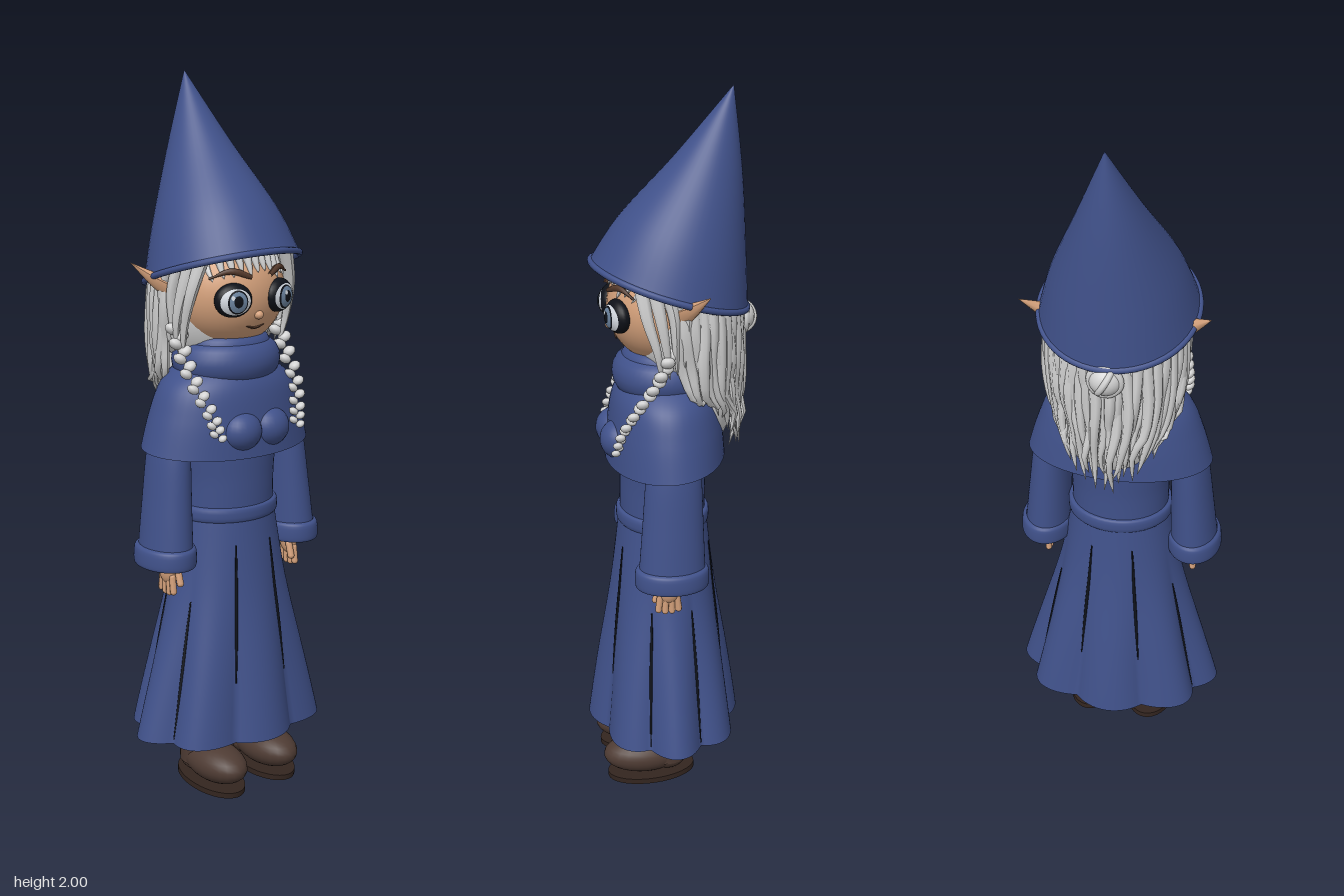
import * as THREE from 'three';
import { mergeGeometries } from 'three/addons/utils/BufferGeometryUtils.js';

const mat = (name, color, side = THREE.FrontSide) => {
  const m = new THREE.MeshStandardMaterial({ color, side });
  m.name = name;
  return m;
};
const V = (x, y, z) => new THREE.Vector3(x, y, z);

// Smooth skin through elliptical rings [y, rx, rz, cz, cx, tilt], listed bottom to top
function loft(rings, { steps = 8, seg = 48, mod = () => 1 } = {}) {
  const rows = [], pos = [], idx = [];
  const get = (i, k) => rings[Math.max(0, Math.min(rings.length - 1, i))][k] ?? 0;
  for (let i = 0; i < rings.length - 1; i++) {
    for (let s = 0; s < steps; s++) rows.push([0, 1, 2, 3, 4, 5].map(k => {
      const t = s / steps, a = get(i - 1, k), b = get(i, k), c = get(i + 1, k), d = get(i + 2, k);
      return b + 0.5 * t * (c - a + t * (2 * a - 5 * b + 4 * c - d + t * (3 * (b - c) + d - a)));
    }));
  }
  rows.push([0, 1, 2, 3, 4, 5].map(k => get(rings.length - 1, k)));
  rows.forEach(([y, rx, rz, cz, cx, tilt], i) => {
    for (let j = 0; j < seg; j++) {
      const a = j / seg * Math.PI * 2, m = mod(a, y);
      pos.push(cx + rx * m * Math.sin(a), y + tilt * Math.cos(a), cz + rz * m * Math.cos(a));
      if (i === rows.length - 1) continue;
      const p = i * seg + j, q = i * seg + (j + 1) % seg;
      idx.push(p, q, p + seg, q, q + seg, p + seg);
    }
  });
  const g = new THREE.BufferGeometry();
  g.setAttribute('position', new THREE.Float32BufferAttribute(pos, 3));
  g.setIndex(idx);
  g.computeVertexNormals();
  return g;
}

// Tube along points whose thickness follows the rule w(t)
function taper(points, r, w = t => 0.03 + 0.97 * Math.pow(1 - t, 0.6), seg = 12) {
  const curve = new THREE.CatmullRomCurve3(points), g = new THREE.TubeGeometry(curve, seg, r, 7);
  const p = g.attributes.position, v = V(0, 0, 0);
  for (let i = 0; i <= seg; i++) {
    const c = curve.getPointAt(i / seg);
    for (let j = 0; j < 8; j++) {
      v.fromBufferAttribute(p, i * 8 + j).sub(c).multiplyScalar(w(i / seg)).add(c);
      p.setXYZ(i * 8 + j, v.x, v.y, v.z);
    }
  }
  g.computeVertexNormals();
  return g;
}
const ball = (x, y, z, rx, ry, rz, n = 24) =>
  new THREE.SphereGeometry(1, n, Math.ceil(n * 0.7)).scale(rx, ry, rz).translate(x, y, z);

export function createModel() {
  const root = new THREE.Group();
  const cloth = mat('blue cloth', 0x40518a, THREE.DoubleSide);
  const skin = mat('skin', 0xd6a27c);
  const hair = mat('silver hair', 0xd2d2d2);
  const leather = mat('brown leather', 0x4e3b33);
  const sole = mat('dark sole', 0x33251f);
  const dark = mat('dark line', 0x0e1118, THREE.DoubleSide);
  const brown = mat('brow brown', 0x54392b);
  const white = mat('eye white', 0xd8dde4);
  const iris = mat('iris blue', 0x6f87a3);
  const add = (name, geo, m, parent = root) => {
    const mesh = new THREE.Mesh(Array.isArray(geo) ? mergeGeometries(geo) : geo, m);
    mesh.name = name;
    parent.add(mesh);
    return mesh;
  };
  let seed = 7;
  const rnd = () => (seed = (seed * 16807) % 2147483647) / 2147483647 - 0.5;

  // Hat with a tilted brim
  add('hat', loft([[1.478, .213, .213, 0, 0, .067], [1.61, .171, .171, -.036, 0, .05],
    [1.8, .087, .09, -.105, 0, .02], [2, 0, 0, -.17, 0, 0]]), cloth);
  add('hatBrim', new THREE.TorusGeometry(.212, .009, 10, 64).scale(1, 1.04, 1)
    .rotateX(Math.PI / 2 - .305).translate(0, 1.478, 0), cloth);

  // Pleated skirt
  const pleat = (a, y) => {
    const k = THREE.MathUtils.smoothstep(.78 - y, 0, .6);
    return 1 + k * (.065 - .15 * (1 - Math.abs(Math.cos(4 * a))));
  };
  const skirtRings = [[.17, .285, .207, .02], [.38, .232, .18, .02], [.6, .178, .148, .02], [.8, .142, .125, .02]];
  add('skirt', loft(skirtRings, { seg: 128, mod: pleat }), cloth);
  const radius = (y, k) => {
    const i = y < .38 ? 0 : y < .6 ? 1 : 2, [a, b] = [skirtRings[i], skirtRings[i + 1]];
    return THREE.MathUtils.mapLinear(y, a[0], b[0], a[k], b[k]);
  };
  const creases = [];
  for (let i = 0; i < 8; i++) {
    const a = (i + .5) * Math.PI / 4, inner = Math.abs(Math.sin(a)) < .7, pts = [];
    for (let j = 0; j <= 6; j++) {
      const y = (inner ? .34 : .18) + j / 6 * .39, m = pleat(a, y);
      pts.push(V(radius(y, 1) * m * Math.sin(a), y, .02 + radius(y, 2) * m * Math.cos(a)));
    }
    creases.push(taper(pts, .005, t => .4 + .6 * Math.sin(Math.PI * t)));
  }
  add('pleatCreases', creases, dark);

  // Bodice and belt
  add('bodice', loft([[.79, .138, .12, .02], [.9, .14, .12, .02], [1.05, .15, .12, .015], [1.2, .1, .09, .01]]), cloth);
  add('belt', loft([[.792, .138, .12, .02], [.798, .15, .13, .02], [.828, .15, .13, .02], [.834, .138, .12, .02]], { steps: 3 }), cloth);

  // Shoulder cape and rolled cowl
  add('cape', loft([[.997, .262, .165, .015, 0, -.014], [1.09, .235, .157, .015, 0, -.005],
    [1.17, .2, .142, .015], [1.22, .14, .115, .01], [1.24, .09, .08, .01]]), cloth);
  add('capeFront', [-1, 1].map(s => ball(s * .048, 1.055, .148, .06, .055, .053)), cloth);
  add('cowl', [[.1, .056, 1.232], [.088, .04, 1.268]].map(([R, r, y]) =>
    new THREE.TorusGeometry(R, r, 18, 48).rotateX(Math.PI / 2).scale(1, 1.05, .9).translate(0, y, .018)), cloth);

  // Head
  const faceZ = (x, y) => .02 + .15 * Math.sqrt(Math.max(.02, 1 - (x / .165) ** 2 - ((y - 1.42) / .155) ** 2));
  const onFace = (x, y, d = 0) => V(x, y, faceZ(x, y) + d);
  add('head', ball(0, 1.42, .02, .165, .155, .15, 40), skin);
  add('neck', new THREE.CylinderGeometry(.06, .07, .14, 24).translate(0, 1.24, .01), skin);
  add('nose', ball(0, 1.37, faceZ(0, 1.37), .013, .012, .014, 14), skin);
  add('mouth', taper([onFace(-.03, 1.34, .001), onFace(0, 1.333, .001), onFace(.03, 1.34, .001)], .004,
    t => .3 + .7 * Math.sin(Math.PI * t)), brown);

  for (const s of [-1, 1]) {
    const side = s > 0 ? 'left' : 'right';

    // Eye: a dark lens with thin curved layers on it
    const eye = new THREE.Group();
    eye.name = side + 'Eye';
    eye.position.set(s * .077, 1.415, .15);
    eye.rotation.y = s * .3;
    root.add(eye);
    add('lashRim', ball(0, 0, 0, .053, .046, .03), dark, eye);
    const layer = (name, rx, ry, cx, cy, d, m) => {
      const g = new THREE.RingGeometry(.001, 1, 32, 5).scale(rx, ry, 1).translate(cx, cy, 0), p = g.attributes.position;
      for (let i = 0; i < p.count; i++) {
        const q = 1 - (p.getX(i) / .053) ** 2 - (p.getY(i) / .046) ** 2;
        p.setZ(i, .03 * Math.sqrt(Math.max(0, q)) + d);
      }
      g.computeVertexNormals();
      add(name, g, m, eye);
    };
    layer('eyeWhite', .043, .035, 0, -.002, .0012, white);
    layer('irisRim', .029, .032, -s * .004, -.002, .0024, dark);
    layer('iris', .025, .028, -s * .004, -.002, .0036, iris);
    layer('pupil', .013, .016, -s * .004, 0, .0048, dark);
    layer('eyeGlint', .005, .006, -.012, .011, .006, white);

    add(side + 'Brow', taper([onFace(s * .03, 1.474, .012), onFace(s * .08, 1.491, .014), onFace(s * .13, 1.472, .016)],
      .009, t => .35 + .65 * Math.sin(Math.PI * Math.min(1, t + .15))), brown);
    add(side + 'Ear', taper([V(s * .16, 1.435, -.01), V(s * .2, 1.46, -.03), V(s * .255, 1.505, -.066)], .032,
      t => 1.02 - t), skin);

    // Sleeve, cuff and hand
    add(side + 'Sleeve', loft([[.7, .068, .093, .028, s * .217], [.85, .06, .084, .024, s * .208],
      [1.0, .051, .075, .02, s * .197], [1.1, .04, .06, .015, s * .18]]), cloth);
    add(side + 'Cuff', loft([[.73, .055, .078, .028, s * .217], [.69, .06, .085, .028, s * .217],
      [.681, .071, .095, .028, s * .218], [.69, .078, .102, .028, s * .218], [.728, .076, .101, .028, s * .217],
      [.738, .066, .09, .028, s * .216]], { steps: 4 }), cloth);
    const hand = [ball(s * .216, .67, .036, .02, .045, .032, 16)];
    for (let i = 0; i < 4; i++) hand.push(new THREE.CapsuleGeometry(.0095, .042, 4, 8)
      .rotateX((1.5 - i) * .08).translate(s * .217, .62 + Math.abs(i - 1.5) * .005, .012 + i * .017));
    hand.push(new THREE.CapsuleGeometry(.01, .035, 4, 8).rotateX(-.3).translate(s * .198, .645, .066));
    add(side + 'Hand', hand, skin);

    // Boot
    add(side + 'BootShaft', new THREE.CylinderGeometry(1, 1, .32, 28).scale(.062, 1, .064).translate(s * .093, .22, .026), leather);
    add(side + 'BootFoot', [ball(s * .092, .074, .09, .071, .055, .12), ball(s * .092, .07, .022, .062, .048, .06)], leather);
    add(side + 'Sole', new THREE.CylinderGeometry(1, 1, .016, 36).scale(.074, 1, .128).rotateX(.06)
      .translate(s * .092, .016, .07), sole);

    // Face-framing locks and braid
    const frame = [];
    for (let i = 0; i < 4; i++) frame.push(taper([V(s * (.14 + i * .01), 1.53, .1 - i * .03),
      V(s * (.168 + i * .005), 1.43, .085 - i * .035), V(s * (.176 + rnd() * .01), 1.34, .06 - i * .025),
      V(s * .165, 1.25 + i * .01, .045 - i * .02)], .021));
    add(side + 'FaceLocks', frame, hair);
    const path = new THREE.CatmullRomCurve3([V(s * .17, 1.33, .02), V(s * .172, 1.25, .06), V(s * .165, 1.17, .115),
      V(s * .145, 1.1, .152), V(s * .135, 1.05, .165)]);
    const braid = [];
    for (let i = 0; i < 18; i++) {
      const c = path.getPoint(i / 17), r = .021 - i * .0005, side2 = i % 2 ? 1 : -1;
      braid.push(new THREE.SphereGeometry(1, 12, 8).scale(r, r * .72, r).rotateZ(side2 * .6)
        .translate(c.x + side2 * .009, c.y, c.z + side2 * .004));
    }
    add(side + 'Braid', braid, hair);
  }

  // Fringe under the brim
  const fringe = [];
  for (let i = 0; i < 13; i++) {
    const x = (i - 6) * .023, y = 1.485 - Math.abs(x) * .2 + rnd() * .02;
    fringe.push(taper([V(x * .9, 1.56, .12 - Math.abs(x) * .4), onFace(x, 1.52, .008), onFace(x * 1.04, y, .004)], .017));
  }
  add('fringe', fringe, hair);

  // Back hair: inner mass with two rows of wavy locks
  add('hairMass', [ball(0, 1.38, -.04, .183, .19, .152, 32), ball(0, 1.2, -.1, .135, .19, .08, 28)], hair);
  const locks = [];
  for (let row = 0; row < 2; row++) for (let i = 0; i < 23; i++) {
    const a = (i + row * .5 - 11) / 11 * 1.7, s = Math.sin(a), c = Math.cos(a), k = 1 - row * .03;
    const j = () => rnd() * .022;
    locks.push(taper([V(.165 * s, 1.5, -.03 - .14 * c), V(.18 * s * k, 1.39, -.035 - .152 * c * k),
      V(.178 * s * k + j(), 1.29, -.045 - .145 * c * k + j()), V(.165 * s * k + j(), 1.19, -.065 - .125 * c + j()),
      V(.148 * s + j(), 1.1 + .05 * Math.abs(a), -.095 - .098 * c + j()),
      V(.13 * s + j(), 1.0 + row * .05 + .09 * Math.abs(a) + rnd() * .05, -.11 - .075 * c + j())], .024));
  }
  add('backLocks', locks, hair);

  // Bun with wrapped strands
  add('bun', [ball(-.005, 1.375, -.195, .046, .044, .042),
    new THREE.TorusGeometry(.04, .011, 8, 28).translate(-.005, 1.375, -.205),
    new THREE.TorusGeometry(.041, .009, 8, 28).rotateY(Math.PI / 2).rotateZ(.5).translate(-.005, 1.375, -.195)], hair);
  return root;
}
